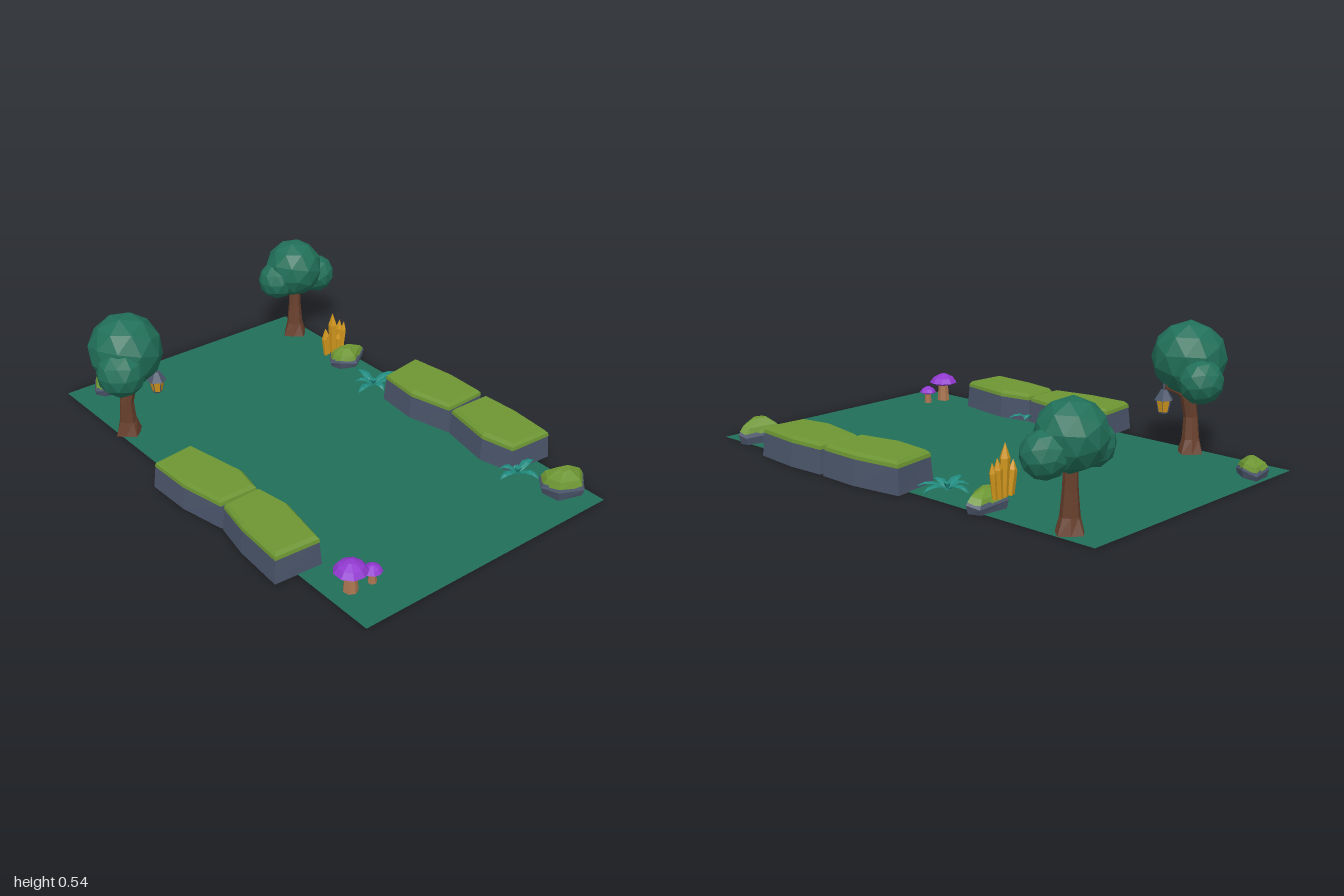
import * as THREE from 'three';

const mat = (name, color) => {
  const m = new THREE.MeshStandardMaterial({ color, flatShading: true });
  m.name = name;
  return m;
};

// Loft through rings of [x, y, z] that run counterclockwise seen from above, capped at both ends
function loft(rings) {
  const pos = [];
  const tri = (a, b, c) => pos.push(...a, ...b, ...c);
  const mid = (r) => [0, 1, 2].map((k) => r.reduce((s, p) => s + p[k], 0) / r.length);
  const n = rings[0].length, first = rings[0], last = rings[rings.length - 1];
  const c0 = mid(first), c1 = mid(last);
  for (let i = 0; i < n; i++) {
    const j = (i + 1) % n;
    for (let k = 0; k < rings.length - 1; k++) {
      const a = rings[k], b = rings[k + 1];
      tri(a[i], a[j], b[j]);
      tri(a[i], b[j], b[i]);
    }
    tri(c0, first[j], first[i]);
    tri(c1, last[i], last[j]);
  }
  const g = new THREE.BufferGeometry();
  g.setAttribute('position', new THREE.Float32BufferAttribute(pos, 3));
  g.computeVertexNormals();
  return g;
}

// Round ring with an optional root flare
const circle = (x, y, z, r, n, flare = 0) => Array.from({ length: n }, (_, i) => {
  const a = (i / n) * Math.PI * 2, q = r * (1 + (i % 2 ? -flare : flare));
  return [x + Math.cos(a) * q, y, z - Math.sin(a) * q];
});

// Ring from a clockwise [x, z] outline, scaled about its middle
function outlineRing(outline, y, sx, sz = sx, tilt = 0) {
  const n = outline.length;
  const cx = outline.reduce((s, p) => s + p[0], 0) / n, cz = outline.reduce((s, p) => s + p[1], 0) / n;
  return outline.map(([x, z], i) => [cx + (x - cx) * sx, y + tilt * (i % 2 ? 1 : -1), cz + (z - cz) * sz]).reverse();
}

export function createModel() {
  const root = new THREE.Group();
  root.name = 'forestPath';
  const M = {
    leaf: mat('forest green', 0x217059),
    grass: mat('moss green', 0x6d9633),
    stone: mat('slate', 0x4b566b),
    bark: mat('bark brown', 0x68402d),
    stem: mat('mushroom stem tan', 0xab7652),
    cap: mat('mushroom purple', 0x9139cf),
    amber: mat('amber', 0xd0961c),
    fern: mat('fern teal', 0x218b80),
  };
  M.leaf.side = M.fern.side = THREE.DoubleSide;
  const group = (name, parent = root) => {
    const g = new THREE.Group();
    g.name = name;
    parent.add(g);
    return g;
  };
  const add = (parent, name, geo, material, x = 0, y = 0, z = 0) => {
    const m = new THREE.Mesh(geo, material);
    m.name = name;
    m.position.set(x, y, z);
    parent.add(m);
    return m;
  };

  // Ground sheet
  add(root, 'ground', new THREE.PlaneGeometry(1.195, 2).rotateX(-Math.PI / 2), M.leaf, -0.0075, 0.002, 0);

  // Grass-topped stone banks
  const banks = [
    [0.12, [[-0.70, -0.155], [-0.515, -0.175], [-0.455, 0.11], [-0.48, 0.235], [-0.655, 0.235], [-0.695, 0.04]]],
    [0.122, [[-0.655, 0.245], [-0.48, 0.238], [-0.455, 0.385], [-0.5, 0.635], [-0.70, 0.622], [-0.685, 0.4]]],
    [0.127, [[0.44, -0.105], [0.645, -0.135], [0.675, 0.08], [0.67, 0.26], [0.465, 0.272], [0.42, 0.08]]],
    [0.122, [[0.465, 0.276], [0.667, 0.28], [0.675, 0.45], [0.655, 0.655], [0.45, 0.645], [0.42, 0.5]]],
  ];
  for (const [h, o] of banks) {
    const g = group('bank');
    add(g, 'bankStone', loft([outlineRing(o, 0, 1), outlineRing(o, h - 0.022, 0.93, 0.965)]), M.stone);
    add(g, 'bankGrass', loft([outlineRing(o, h - 0.026, 0.95, 0.975), outlineRing(o, h - 0.012, 0.93, 0.96),
      outlineRing(o, h, 0.83, 0.9)]), M.grass);
  }

  // Small mossy rocks
  const rocks = [
    [0.1, [[0.43, 0.82], [0.465, 0.775], [0.61, 0.825], [0.62, 0.865], [0.55, 0.935], [0.44, 0.9]]],
    [0.08, [[0.44, -0.47], [0.48, -0.525], [0.61, -0.51], [0.63, -0.46], [0.53, -0.39], [0.455, -0.42]]],
    [0.075, [[-0.52, -0.91], [-0.475, -0.985], [-0.385, -0.99], [-0.39, -0.92], [-0.44, -0.86], [-0.495, -0.87]]],
  ];
  for (const [h, o] of rocks) {
    const g = group('rock');
    add(g, 'rockStone', loft([outlineRing(o, 0, 0.9), outlineRing(o, h * 0.35, 1, 1, 0.006),
      outlineRing(o, h * 0.62, 0.8, 0.8, 0.005)]), M.stone);
    add(g, 'rockMoss', loft([outlineRing(o, h * 0.45, 0.93, 0.93, 0.008), outlineRing(o, h * 0.72, 0.76, 0.76, 0.004),
      outlineRing(o, h, 0.3)]), M.grass);
  }

  // Trees: trunk rings are [x, y, z, radius], crown blobs are [x, y, z, radius]
  const trees = [
    [[[-0.56, 0, -0.565, 0.054], [-0.56, 0.06, -0.565, 0.037], [-0.563, 0.15, -0.56, 0.03], [-0.548, 0.23, -0.555, 0.032],
      [-0.54, 0.32, -0.555, 0.022]],
    [[-0.555, 0.39, -0.55, 0.152], [-0.625, 0.34, -0.475, 0.1], [-0.485, 0.32, -0.655, 0.092]]],
    [[[0.525, 0, -0.84, 0.056], [0.525, 0.06, -0.84, 0.037], [0.527, 0.15, -0.842, 0.029], [0.53, 0.3, -0.845, 0.022]],
      [[0.525, 0.338, -0.843, 0.13], [0.437, 0.295, -0.855, 0.086], [0.632, 0.288, -0.82, 0.086]]],
  ];
  for (const [trunk, crown] of trees) {
    const g = group('tree');
    add(g, 'trunk', loft(trunk.map(([x, y, z, r], i) => circle(x, y, z, r, 8, i ? 0.03 : 0.12))), M.bark);
    crown.forEach(([x, y, z, r], i) => {
      const blob = add(g, 'crownBlob', new THREE.IcosahedronGeometry(r, 1), M.leaf, x, y, z);
      blob.rotation.set(0.3 * i, 0.5 + i, 0.2);
    });
  }

  // Hanging lantern on its branch
  const lantern = group('lantern');
  const limb = new THREE.CatmullRomCurve3([[-0.553, 0.22, -0.555], [-0.5, 0.26, -0.53], [-0.445, 0.285, -0.51]]
    .map((p) => new THREE.Vector3(...p)));
  add(lantern, 'branch', new THREE.TubeGeometry(limb, 5, 0.011, 6), M.bark);
  const L = (name, rt, rb, h, y, m) => add(lantern, name, new THREE.CylinderGeometry(rt, rb, h, 6), m, -0.445, y, -0.51);
  L('lanternHook', 0.004, 0.004, 0.03, 0.28, M.stone);
  L('lanternRoof', 0.014, 0.04, 0.04, 0.251, M.stone);
  L('lanternGlass', 0.031, 0.021, 0.05, 0.206, M.amber);
  L('lanternBase', 0.022, 0.018, 0.007, 0.179, M.stone);
  for (let i = 0; i < 6; i++) {
    const a = (i / 6) * Math.PI * 2;
    const bar = new THREE.LineCurve3(
      new THREE.Vector3(Math.sin(a) * 0.021, 0.181, Math.cos(a) * 0.021),
      new THREE.Vector3(Math.sin(a) * 0.031, 0.232, Math.cos(a) * 0.031));
    add(lantern, 'lanternBar', new THREE.TubeGeometry(bar, 1, 0.002, 4), M.stone, -0.445, 0, -0.51);
  }

  // Crystal cluster: x, z, height, radius, lean
  const crystals = group('crystals');
  for (const [x, z, h, r, lean] of [[0.488, -0.51, 0.195, 0.02, 0.02], [0.515, -0.515, 0.15, 0.017, -0.1],
    [0.463, -0.515, 0.13, 0.016, 0.12], [0.537, -0.51, 0.135, 0.014, -0.1], [0.447, -0.51, 0.115, 0.013, 0.1],
    [0.5, -0.495, 0.1, 0.014, -0.05]]) {
    const geo = loft([circle(0, 0, 0, r * 0.7, 5), circle(0, h * 0.72, 0, r, 5), circle(0, h, 0, 0.001, 5)]);
    add(crystals, 'crystal', geo, M.amber, x, 0.045, z).rotation.z = lean;
  }

  // Mushrooms: x, z, cap radius, cap underside, top
  for (const [x, z, r, y, top] of [[-0.515, 0.81, 0.064, 0.078, 0.126], [-0.427, 0.823, 0.038, 0.046, 0.078]]) {
    const g = group('mushroom'), h = top - y;
    add(g, 'mushroomStem', new THREE.CylinderGeometry(r * 0.33, r * 0.45, y + 0.01, 7), M.stem, x, (y + 0.01) / 2, z);
    add(g, 'mushroomCap', loft([circle(x, y, z, r * 0.7, 9), circle(x, y + h * 0.2, z, r, 9),
      circle(x, y + h * 0.65, z, r * 0.75, 9), circle(x, top, z, r * 0.25, 9)]), M.cap);
  }

  // Ferns: centre, then leaf tip offsets
  const ferns = [
    [0.48, -0.22, [[0.015, -0.125], [0.13, -0.005], [-0.12, 0.04], [-0.06, -0.05], [-0.015, 0.09], [0.08, 0.075]]],
    [0.463, 0.668, [[-0.108, 0.008], [0.017, 0.098], [0.1, -0.01], [-0.05, -0.05], [0.03, -0.1]]],
    [-0.49, 0.24, [[0.08, 0.05], [0.06, -0.02], [-0.07, 0.06], [-0.06, -0.06]]],
  ];
  for (const [x, z, tips] of ferns) {
    const g = group('fern');
    add(g, 'fernHeart', new THREE.ConeGeometry(0.016, 0.03, 5).rotateX(Math.PI), M.fern, x, 0.017, z);
    for (const [dx, dz] of tips) {
      // Arched blade folded along its midrib
      const len = Math.hypot(dx, dz);
      const geo = new THREE.PlaneGeometry(1, 1, 2, 4).rotateX(-Math.PI / 2);
      const p = geo.attributes.position;
      for (let i = 0; i < p.count; i++) {
        const t = p.getZ(i) + 0.5, side = p.getX(i) * 2;
        const w = 0.003 + 0.015 * Math.sin(Math.PI * Math.pow(t, 0.8));
        p.setXYZ(i, side * w * (t > 0.99 ? 0 : 1), 0.01 + 0.03 * Math.sin(t * 2.6) - Math.abs(side) * 0.005, t * len);
      }
      geo.computeVertexNormals();
      add(g, 'fernLeaf', geo, M.fern, x, 0, z).rotation.y = Math.atan2(dx, dz);
    }
  }
  return root;
}
